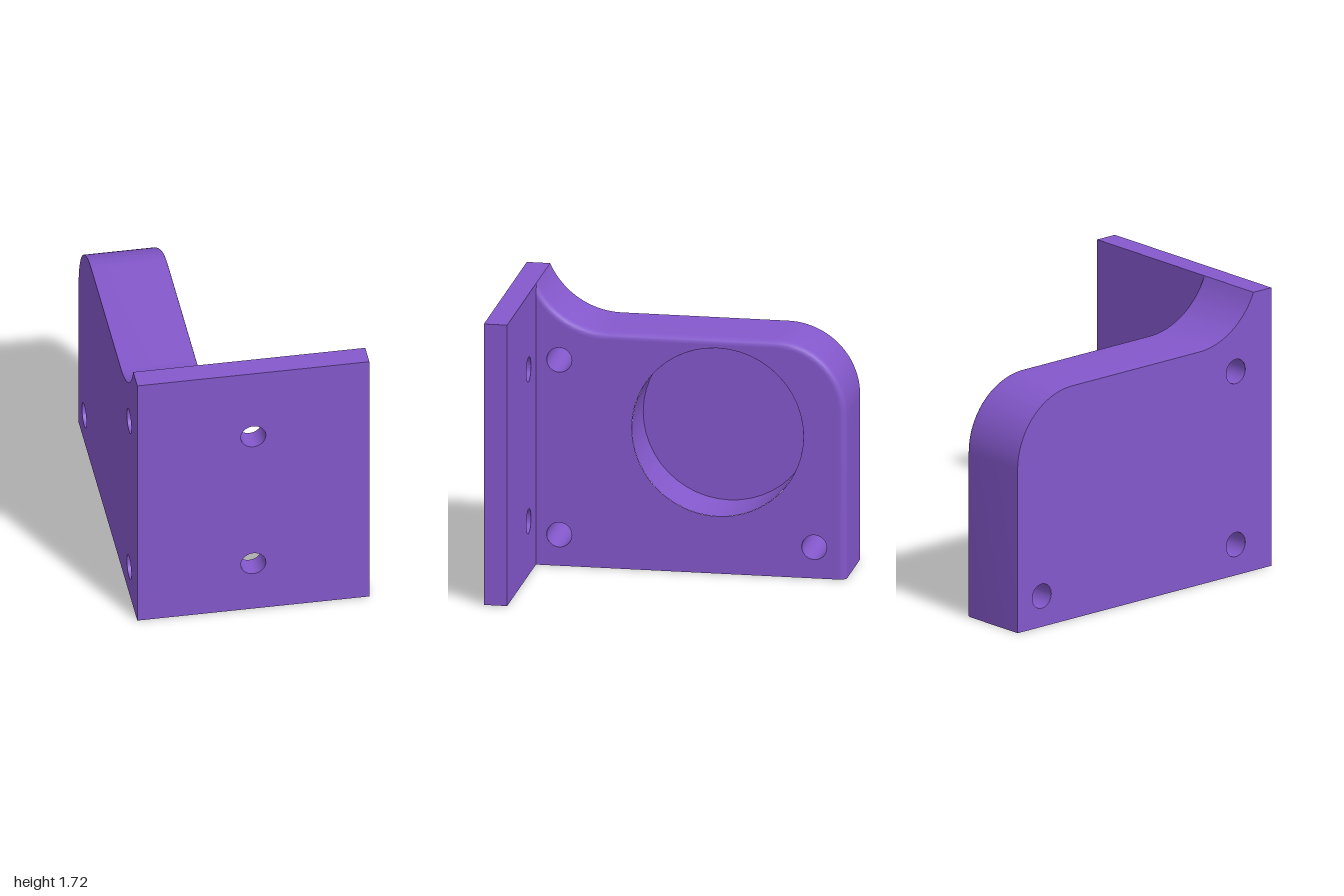
import * as THREE from 'three';
import { toCreasedNormals } from 'three/addons/utils/BufferGeometryUtils.js';

const PURPLE = 0x8458cc;
const BACK = -0.695, FACE = -0.235, FLOOR = -0.605; // arm's outer face, inner face, recess floor (x)
const ROUND = 0.04;                                  // rounding of the arm's inner edge
const HOLE = 0.075;
const armHoles = [[-0.72, 1.26], [-0.72, 0.19], [0.81, 0.19]]; // (-z, y)
const recess = { u: 0.23, y: 0.865, r: 0.515 };

const circle = (x, y, r) => new THREE.Path().absarc(x, y, r, 0, Math.PI * 2, true);

// Arm side profile in (-z, y), counter-clockwise, inset by d on all but the bottom and plate edges
function armOutline(d) {
  const pts = [new THREE.Vector2(-0.86, 0), new THREE.Vector2(1 - d, 0)];
  const arc = (cx, cy, r, from, to, n) => {
    for (let i = 0; i <= n; i++) {
      const a = from + (to - from) * i / n;
      pts.push(new THREE.Vector2(cx + r * Math.cos(a), cy + r * Math.sin(a)));
    }
  };
  arc(0.57, 1.01, 0.43 - d, 0, Math.PI / 2, 24);
  const r = 0.47 + d;
  arc(-0.43, 1.91, r, -Math.PI / 2, -Math.PI / 2 - Math.asin(0.43 / r), 20);
  return pts;
}

// Outer skin swept through the rings, left open where the arm meets the plate
function armSkin() {
  const rings = [[0, BACK]];
  for (let i = 0; i <= 8; i++) {
    const a = i / 8 * Math.PI / 2;
    rings.push([ROUND * (1 - Math.cos(a)), FACE - ROUND + ROUND * Math.sin(a)]);
  }
  const pos = [], idx = [];
  let n = 0;
  for (const [d, z] of rings) {
    const pts = armOutline(d);
    n = pts.length;
    for (const p of pts) pos.push(p.x, p.y, z);
  }
  for (let k = 0; k < rings.length - 1; k++) {
    for (let i = 0; i < n - 1; i++) {
      const a = k * n + i, b = a + 1;
      idx.push(a, b, b + n, a, b + n, a + n);
    }
  }
  const g = new THREE.BufferGeometry();
  g.setAttribute('position', new THREE.Float32BufferAttribute(pos, 3));
  g.setIndex(idx);
  return toCreasedNormals(g, 0.6);
}

export function createModel() {
  const model = new THREE.Group();
  const solid = new THREE.MeshStandardMaterial({ color: PURPLE });
  const thin = new THREE.MeshStandardMaterial({ color: PURPLE, side: THREE.DoubleSide });
  const add = (parent, name, geometry, material = solid) => {
    const mesh = new THREE.Mesh(geometry, material);
    mesh.name = name;
    parent.add(mesh);
    return mesh;
  };

  // Front mounting plate with two bolt holes
  const plate = new THREE.Shape();
  plate.moveTo(BACK, 0).lineTo(-BACK, 0).lineTo(-BACK, 1.72).lineTo(BACK, 1.72).closePath();
  for (const y of [0.33, 1.26]) plate.holes.push(circle(0, y, HOLE));
  const plateGeo = new THREE.ExtrudeGeometry(plate, { depth: 0.14, bevelEnabled: false, curveSegments: 24 });
  add(model, 'mountingPlate', toCreasedNormals(plateGeo, 0.6)).position.z = 0.86;

  // Side arm, drawn in (-z, y) and turned to face +x
  const arm = new THREE.Group();
  arm.name = 'sideArm';
  arm.rotation.y = Math.PI / 2;
  model.add(arm);
  add(arm, 'armOuterSkin', armSkin());

  const faceGeometry = (inset, x, withRecess) => {
    const s = new THREE.Shape(armOutline(inset));
    for (const [u, y] of armHoles) s.holes.push(circle(u, y, HOLE));
    if (withRecess) s.holes.push(circle(recess.u, recess.y, recess.r));
    return new THREE.ShapeGeometry(s, 48).translate(0, 0, x);
  };
  add(arm, 'armInnerFace', faceGeometry(ROUND, FACE, true));
  const outer = faceGeometry(0, BACK, false);
  outer.setIndex(Array.from(outer.index.array).reverse());
  outer.computeVertexNormals();
  add(arm, 'armOuterFace', outer);

  // Bores: three through holes and the large blind recess
  const bore = (name, u, y, r, from) => {
    const g = new THREE.CylinderGeometry(r, r, FACE - from, 48, 1, true).rotateX(Math.PI / 2);
    add(arm, name, g, thin).position.set(u, y, (FACE + from) / 2);
  };
  armHoles.forEach(([u, y], i) => bore('armBoltHole' + (i + 1), u, y, HOLE, BACK));
  bore('recessWall', recess.u, recess.y, recess.r, FLOOR);
  add(arm, 'recessFloor', new THREE.CircleGeometry(recess.r, 48)).position.set(recess.u, recess.y, FLOOR);

  return model;
}
